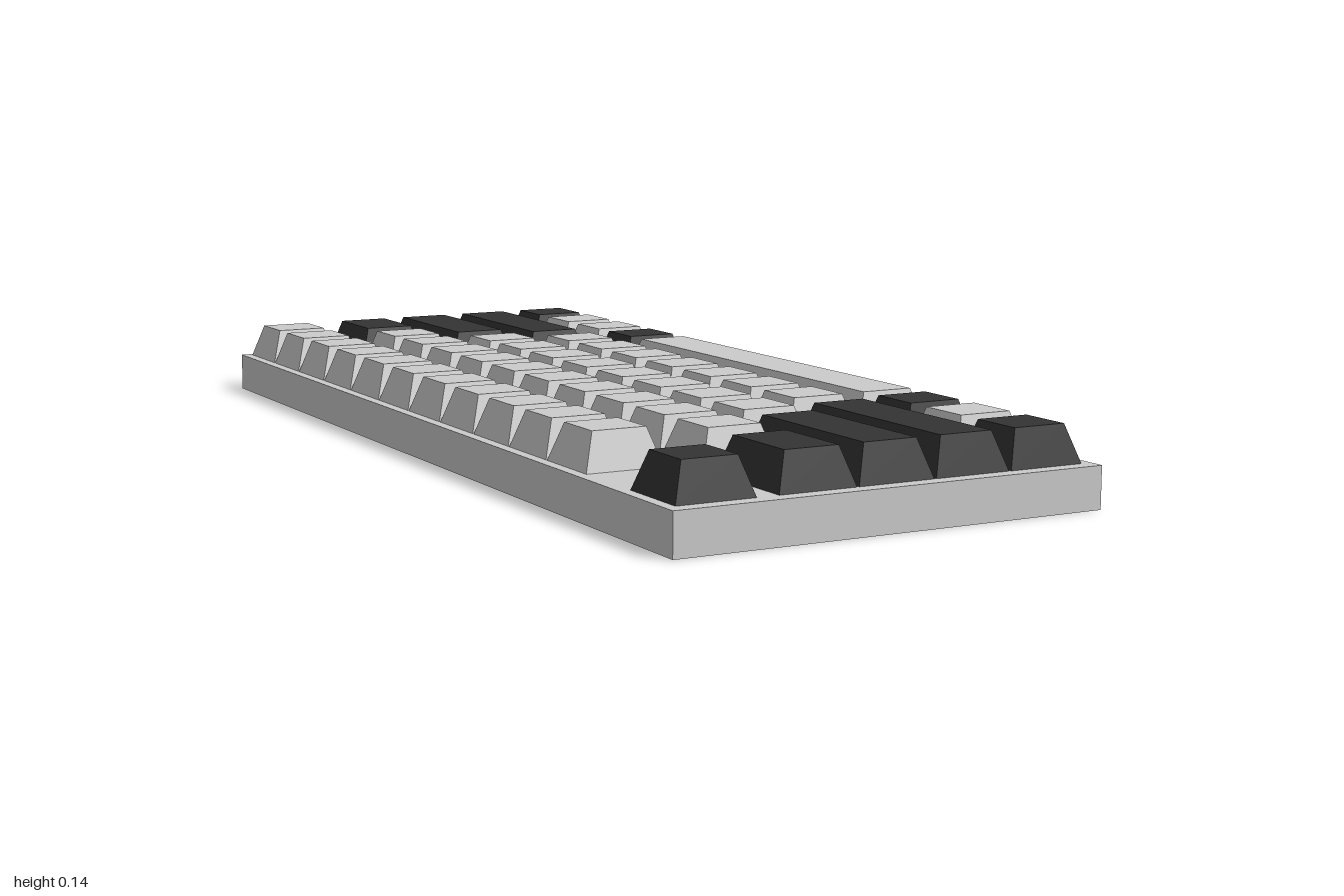
import * as THREE from 'three';

const CASE_H = 0.077, TOP = 0.145, U = 0.151, START = -0.989, END = 0.973;
const GAP = 0.002, INSET = 0.022;
const grey = new THREE.MeshStandardMaterial({ color: 0xcccccc, flatShading: true });
const dark = new THREE.MeshStandardMaterial({ color: 0x333333, flatShading: true });

// Box whose top is drawn in by the same inset on all four sides
function capGeometry(w, d) {
  const h = TOP - CASE_H;
  const g = new THREE.BoxGeometry(w, h, d);
  const p = g.attributes.position;
  for (let i = 0; i < p.count; i++) {
    if (p.getY(i) > 0) {
      p.setX(i, p.getX(i) - Math.sign(p.getX(i)) * INSET);
      p.setZ(i, p.getZ(i) - Math.sign(p.getZ(i)) * INSET);
    }
  }
  g.computeVertexNormals();
  return g.translate(0, CASE_H + h / 2, 0);
}

export function createModel() {
  const model = new THREE.Group();
  model.name = 'keyboard';

  // Flat slab case
  const base = new THREE.Mesh(new THREE.BoxGeometry(0.83, CASE_H, 2), grey);
  base.position.y = CASE_H / 2;
  base.name = 'case';
  model.add(base);

  function addKey(row, name, x, z0, z1, material) {
    const key = new THREE.Mesh(capGeometry(U - 2 * GAP, z1 - z0 - 2 * GAP), material);
    key.position.set(x, 0, (z0 + z1) / 2);
    key.name = name;
    row.add(key);
  }
  function addRun(row, name, x, z0, count) {
    for (let i = 0; i < count; i++) addKey(row, name, x, z0 + i * U, z0 + (i + 1) * U, grey);
  }
  function addRow(name) {
    const row = new THREE.Group();
    row.name = name;
    model.add(row);
    return row;
  }

  // Top row: eleven keys, a gap, then one dark key
  const topRow = addRow('topRow');
  addRun(topRow, 'topKey', -0.321, START, 11);
  addKey(topRow, 'cornerKey', -0.321, END - U, END, dark);

  // Letter rows: a run of keys between two wide dark keys
  const letterRows = [
    { x: -0.133, first: -0.783, run: -0.778, count: 10, last: 0.765 },
    { x: 0.018, first: -0.628, run: -0.611, count: 8, last: 0.611 },
    { x: 0.169, first: -0.56, run: -0.535, count: 7, last: 0.541 },
  ];
  letterRows.forEach(({ x, first, run, count, last }, i) => {
    const row = addRow('letterRow' + (i + 1));
    addKey(row, 'wideKey', x, START, first, dark);
    addRun(row, 'letterKey', x, run, count);
    addKey(row, 'wideKey', x, last, END, dark);
  });

  // Bottom row: lengths in key units around the long space bar
  const bottomRow = addRow('bottomRow');
  let z = START;
  [[1, dark], [1, grey], [1, grey], [1, dark], [6, grey], [1, dark], [1, grey], [1, dark]].forEach(([n, mat]) => {
    addKey(bottomRow, n > 1 ? 'spaceBar' : 'modifierKey', 0.32, z, z + n * U, mat);
    z += n * U;
  });

  return model;
}
